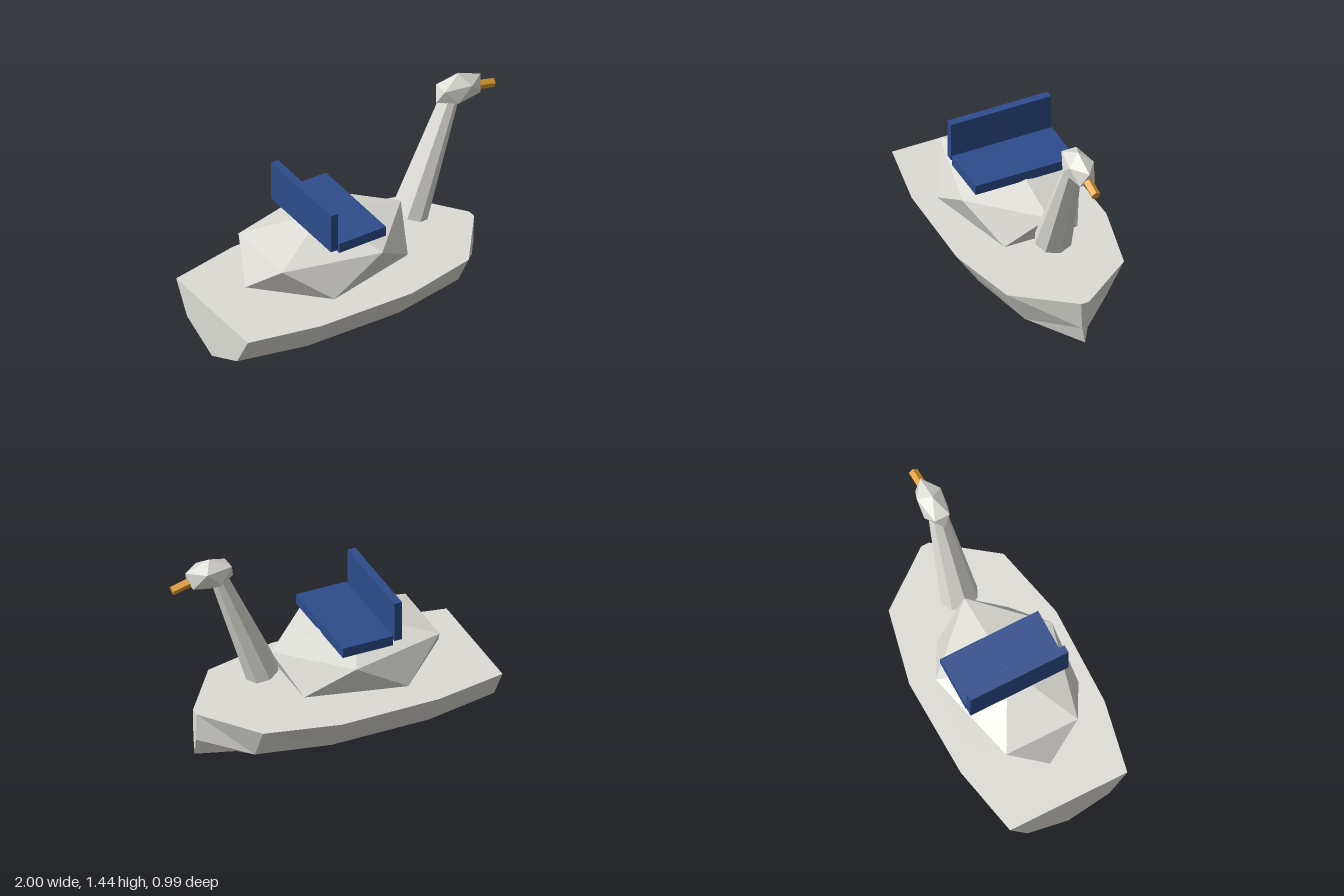
import * as THREE from 'three';

const paint = (name, color) => {
  const m = new THREE.MeshStandardMaterial({ color });
  m.name = name;
  return m;
};

// Flat-shaded geometry from a list of triangles (each corner is [x, y, z])
function facets(triangles) {
  const g = new THREE.BufferGeometry();
  g.setAttribute('position', new THREE.Float32BufferAttribute(triangles.flat(2), 3));
  g.computeVertexNormals();
  return g;
}

// Skin closed rings lying along +x and cap both ends
function loft(rings) {
  const t = [], n = rings[0].length, last = rings.length - 1;
  for (let i = 0; i < last; i++) {
    for (let j = 0; j < n; j++) {
      const k = (j + 1) % n, a = rings[i], b = rings[i + 1];
      t.push([a[j], a[k], b[k]], [a[j], b[k], b[j]]);
    }
  }
  for (let j = 1; j < n - 1; j++) {
    t.push([rings[0][0], rings[0][j + 1], rings[0][j]]);
    t.push([rings[last][0], rings[last][j], rings[last][j + 1]]);
  }
  return facets(t);
}

// Upright icosahedron stretched to the given radii, upper ring pointing to +x
function icosahedron(rx, ry, rz) {
  const h = 0.4472 * ry, top = [0, ry, 0], bottom = [0, -ry, 0], t = [];
  const point = (step, y) => {
    const a = step * Math.PI / 5;
    return [Math.cos(a) * rx, y, -Math.sin(a) * rz];
  };
  for (let i = 0; i < 10; i += 2) {
    const u0 = point(i, h), u1 = point(i + 2, h);
    const l0 = point(i + 1, -h), l1 = point(i + 3, -h);
    t.push([top, u0, u1], [u0, l0, u1], [u1, l0, l1], [bottom, l1, l0]);
  }
  return facets(t);
}

// Tapered prism between two points in the z = 0 plane
function prism(from, to, r0, r1, sides, flatten = 1, spin = 0) {
  const a = new THREE.Vector3(...from), b = new THREE.Vector3(...to);
  const dir = b.clone().sub(a);
  const g = new THREE.CylinderGeometry(r1, r0, dir.length(), sides).toNonIndexed();
  g.rotateY(spin);
  g.scale(flatten, 1, 1);
  g.rotateZ(Math.atan2(-dir.x, dir.y));
  g.translate(...a.add(b).multiplyScalar(0.5).toArray());
  g.computeVertexNormals();
  return g;
}

export function createModel() {
  const model = new THREE.Group();
  model.name = 'swanBoat';
  const white = paint('off white', 0xdddcd6);
  const blue = paint('seat blue', 0x2e4c8c);
  const gold = paint('beak gold', 0xe09c2e);

  const add = (name, geometry, material, x = 0, y = 0, z = 0) => {
    const mesh = new THREE.Mesh(geometry, material);
    mesh.name = name;
    mesh.position.set(x, y, z);
    model.add(mesh);
  };

  // Hull stations: x, deck half-width, chine half-width, chine height, keel height
  const stations = [
    [-1, 0.395, 0.275, 0.175, 0.05],
    [-0.54, 0.485, 0.34, 0.15, 0],
    [0.1, 0.495, 0.347, 0.15, 0],
    [0.57, 0.387, 0.27, 0.165, 0.03],
    [0.84, 0.026, 0.018, 0.195, 0.085],
  ];
  add('hull', loft(stations.map(([x, deck, chine, cy, ky]) => [
    [x, 0.38, deck], [x, cy, chine], [x, ky, 0], [x, cy, -chine], [x, 0.38, -deck],
  ])), white);

  // Bird
  add('body', icosahedron(0.55, 0.235, 0.41), white, -0.213, 0.565);
  add('neck', prism([0.4, 0.56, 0], [0.68, 1.285, 0], 0.12, 0.06, 8, 0.9), white);
  add('head', icosahedron(0.157, 0.105, 0.084), white, 0.745, 1.335);
  add('beak', prism([0.85, 1.32, 0], [0.99, 1.285, 0], 0.03, 0.03, 5, 1, -Math.PI / 2), gold);

  // Bench
  add('seat', new THREE.BoxGeometry(0.33, 0.065, 0.66), blue, -0.145, 0.767);
  add('backrest', new THREE.BoxGeometry(0.05, 0.262, 0.66), blue, -0.345, 0.893);

  return model;
}
